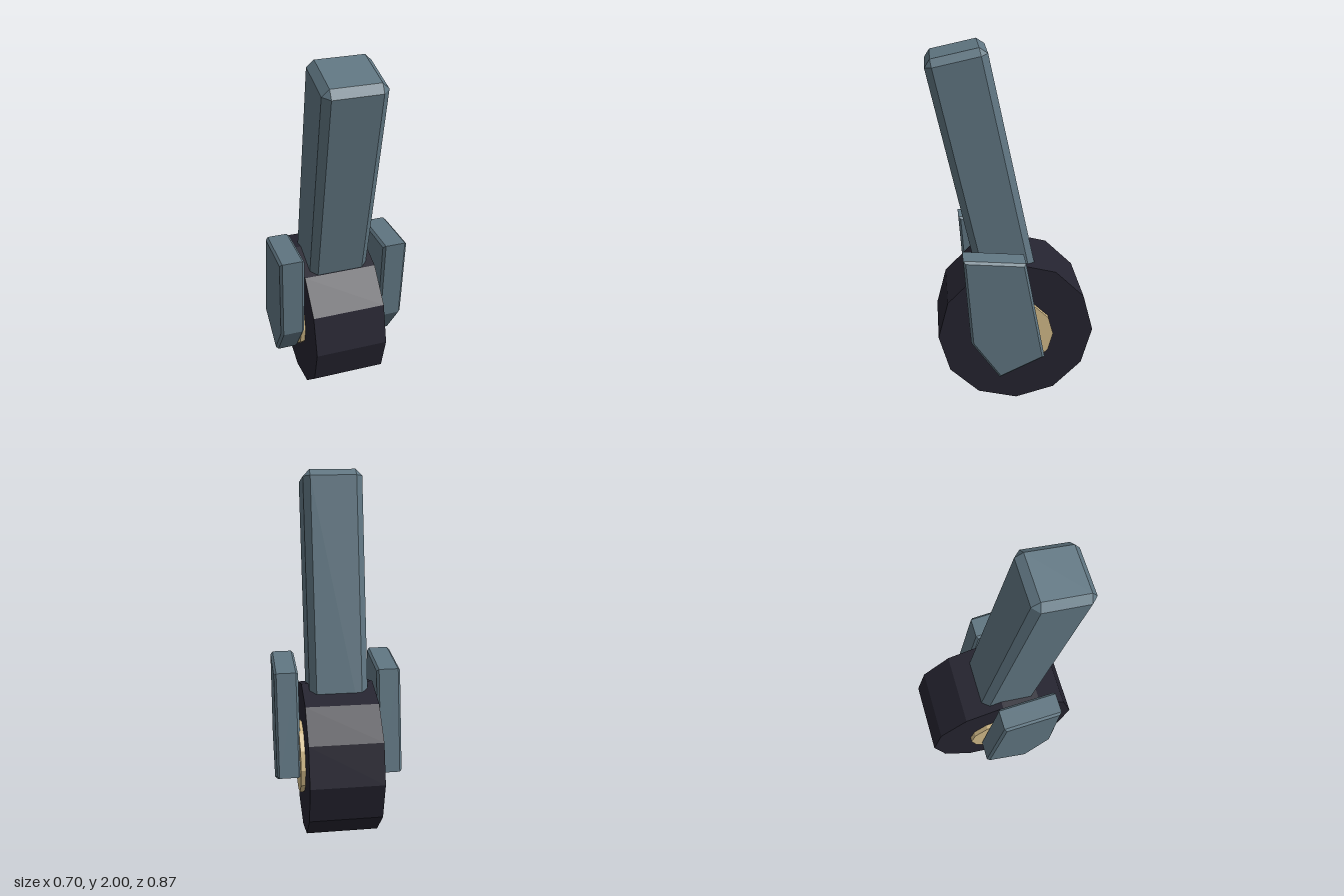
import * as THREE from 'three';
import { ConvexGeometry } from 'three/addons/geometries/ConvexGeometry.js';

const material = (name, color) => {
  const m = new THREE.MeshStandardMaterial({ color, flatShading: true });
  m.name = name;
  return m;
};

// Box with every edge chamfered by c
function chamferedBox(w, h, d, c) {
  const half = [w / 2, h / 2, d / 2];
  const points = [];
  for (const sx of [-1, 1]) for (const sy of [-1, 1]) for (const sz of [-1, 1])
    for (let axis = 0; axis < 3; axis++) {
      const p = half.map((v, i) => (i === axis ? v : v - c));
      points.push(new THREE.Vector3(p[0] * sx, p[1] * sy, p[2] * sz));
    }
  return new ConvexGeometry(points);
}

// Twelve-sided drum lying along x
function drum(radius, width) {
  return new THREE.CylinderGeometry(radius, radius, width, 12).rotateZ(Math.PI / 2);
}

export function createModel() {
  const model = new THREE.Group();
  model.name = 'wheelLeg';
  const steel = material('blue grey metal', 0x607682);
  const rubber = material('dark rubber', 0x252430);
  const brass = material('pale brass', 0xd4bc8a);

  const add = (name, geometry, mat, x, y, z) => {
    const mesh = new THREE.Mesh(geometry, mat);
    mesh.name = name;
    mesh.position.set(x, y, z);
    model.add(mesh);
    return mesh;
  };

  // Wheel and the hub running through it
  add('wheel', drum(0.43, 0.396), rubber, 0, 0.43, -0.007);
  add('hub', drum(0.204, 0.446), brass, 0, 0.432, -0.006);

  // Leaning strut, its foot sunk into the wheel
  const tilt = 0.205, top = 1.992, foot = 0.55, across = -0.122;
  const mid = (top + foot) / 2;
  const strut = add('strut', chamferedBox(0.32, top - foot, 0.316, 0.036), steel, 0,
    mid * Math.cos(tilt) - across * Math.sin(tilt),
    mid * Math.sin(tilt) + across * Math.cos(tilt));
  strut.rotation.x = tilt;

  // Bevelled five-sided side plates, outline in (z, y)
  const outline = [[0.281, 0.968], [-0.042, 0.936], [-0.147, 0.362], [0.098, 0.245], [0.25, 0.474]];
  const bevel = 0.013, thickness = 0.133;
  const plate = new THREE.ExtrudeGeometry(
    new THREE.Shape(outline.map(([z, y]) => new THREE.Vector2(z, y))),
    { depth: thickness - 2 * bevel, bevelEnabled: true, bevelSegments: 1,
      bevelSize: bevel, bevelThickness: bevel, bevelOffset: -bevel });
  plate.translate(0, 0, bevel - thickness / 2).rotateY(-Math.PI / 2);
  for (const [side, s] of [['left', 1], ['right', -1]])
    add(side + 'Plate', plate, steel, s * 0.2835, 0, 0);

  return model;
}
